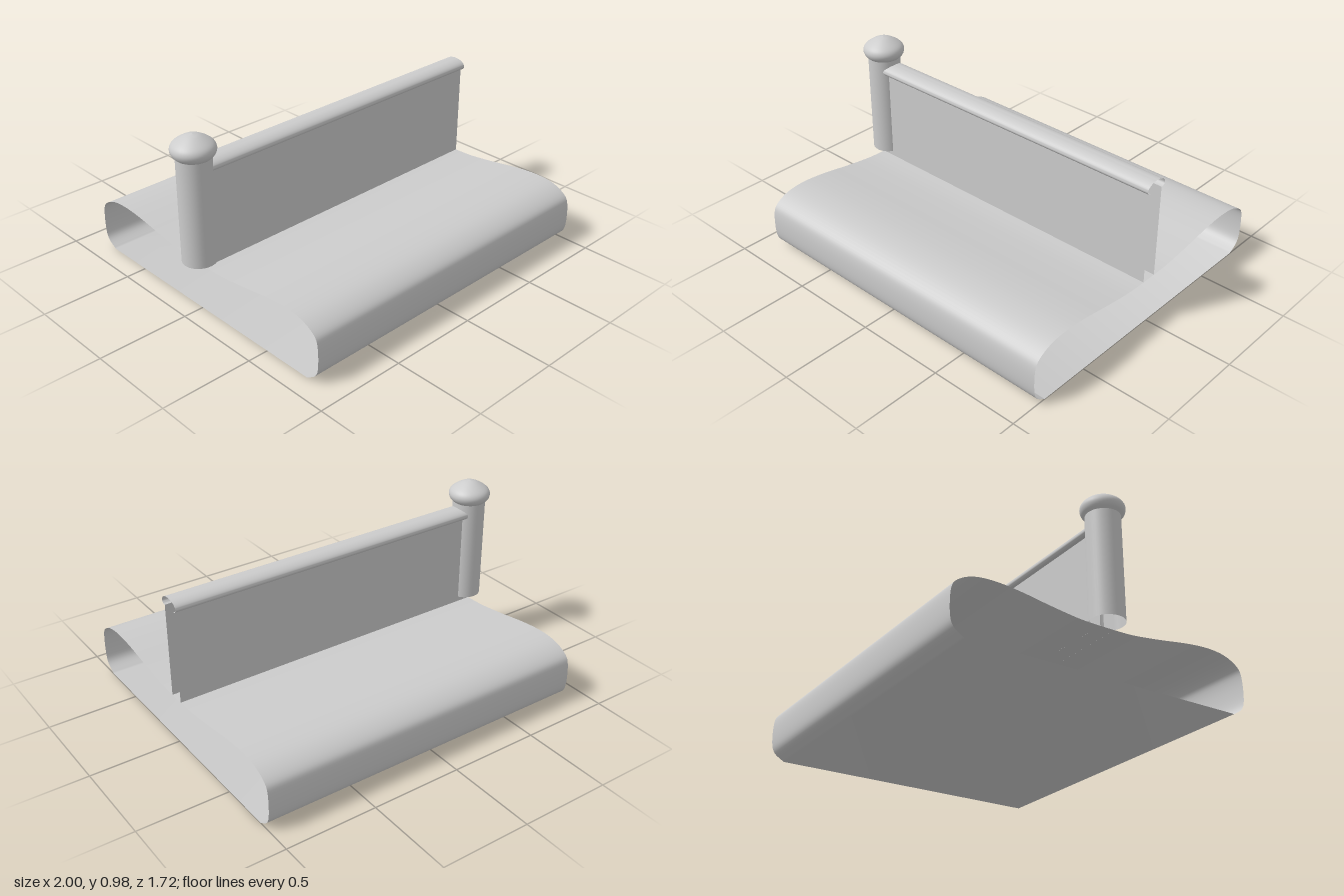
import * as THREE from 'three';
import { toCreasedNormals } from 'three/addons/utils/BufferGeometryUtils.js';

const grey = new THREE.MeshStandardMaterial({ color: 0xcccccc, side: THREE.DoubleSide });
const X0 = -0.885, X1 = 1;

// Sweeps a [z, y] outline along x as an open-ended sheet
function sweep(name, outline, crease) {
  const pos = [], index = [];
  outline.forEach(([z, y]) => pos.push(X0, y, z, X1, y, z));
  for (let i = 0; i < outline.length - 1; i++) {
    const a = 2 * i;
    index.push(a, a + 1, a + 2, a + 1, a + 3, a + 2);
  }
  const geo = new THREE.BufferGeometry();
  geo.setAttribute('position', new THREE.Float32BufferAttribute(pos, 3));
  geo.setIndex(index);
  const mesh = new THREE.Mesh(toCreasedNormals(geo, crease), grey);
  mesh.name = name;
  return mesh;
}

// Smooth curve through [a, b] points
function smooth(points, n) {
  const curve = new THREE.SplineCurve(points.map(p => new THREE.Vector2(...p)));
  return curve.getPoints(n).map(p => [p.x, p.y]);
}

// Completes a half outline (z = 0 to the far end) with its mirror image
const mirrored = half => [...half.slice(1).reverse().map(([z, y]) => [-z, y]), ...half];

function lathe(name, points) {
  const geo = new THREE.LatheGeometry(points.map(p => new THREE.Vector2(Math.max(p[0], 0), p[1])), 40);
  const mesh = new THREE.Mesh(geo, grey);
  mesh.name = name;
  mesh.position.x = X0;
  return mesh;
}

export function createModel() {
  const model = new THREE.Group();
  model.name = 'dividerWithPost';

  // Hollow base: dished top, rounded sides, flat underside
  const half = smooth([
    [0, 0.26], [0.15, 0.263], [0.32, 0.283], [0.5, 0.31], [0.64, 0.32], [0.75, 0.307],
    [0.83, 0.265], [0.855, 0.21], [0.857, 0.1], [0.838, 0.04], [0.78, 0],
  ], 50);
  const base = mirrored(half);
  base.push(base[0]);
  model.add(sweep('base', base, 0.7));

  // Hollow wall: two thin sides
  for (const s of [1, -1]) {
    model.add(sweep(s > 0 ? 'wallFront' : 'wallBack', [[s * 0.043, 0.78], [s * 0.043, 0.26]].slice()
      [s > 0 ? 'slice' : 'reverse'](), 0.5));
  }

  // Rounded handrail, open underneath between the wall sides
  const rail = smooth([[0, 0.836], [0.03, 0.832], [0.055, 0.82], [0.067, 0.803], [0.062, 0.785], [0.043, 0.778]], 16);
  model.add(sweep('handrail', mirrored(rail), 1));

  // Newel post and its domed cap
  model.add(lathe('post', [[0.09, 0.288], [0.09, 0.862]]));
  model.add(lathe('postCap', smooth([
    [0.09, 0.862], [0.107, 0.88], [0.114, 0.905], [0.104, 0.93], [0.075, 0.953], [0.035, 0.974], [0, 0.982],
  ], 24)));
  return model;
}
